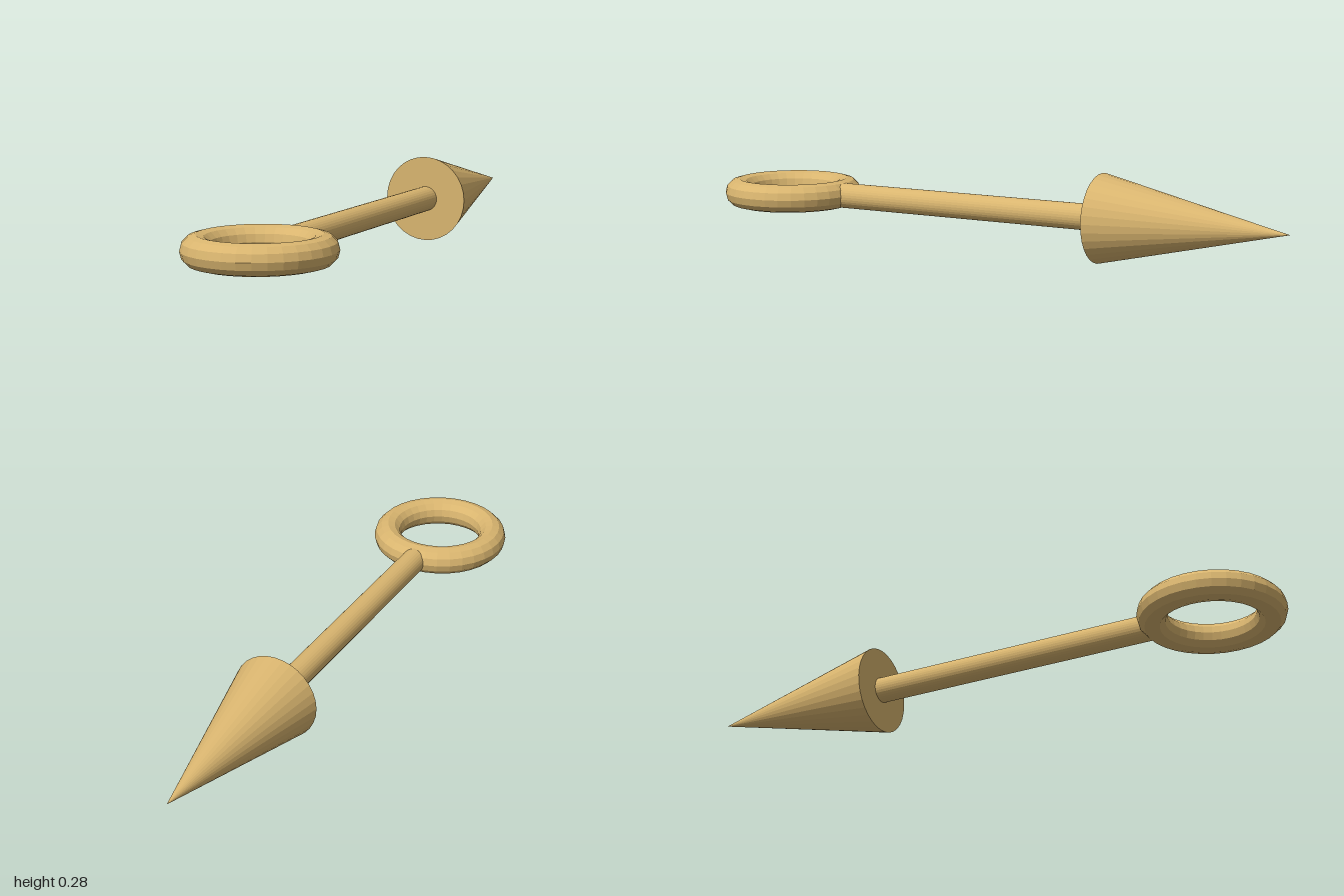
import * as THREE from 'three';

export function createModel() {
  const group = new THREE.Group();
  const material = new THREE.MeshStandardMaterial({ color: 0xd9b56f, flatShading: true });
  const axisY = 0.141;

  const add = (name, geometry, z) => {
    const mesh = new THREE.Mesh(geometry, material);
    mesh.name = name;
    mesh.rotation.x = -Math.PI / 2; // local y points to the back
    mesh.position.set(0, axisY, z);
    group.add(mesh);
  };

  // Pointed head with a flat base
  const headBase = -0.385, tip = -1;
  add('head', new THREE.ConeGeometry(0.14, headBase - tip, 32), (headBase + tip) / 2);

  // Round shaft, running into the ring's wall
  const shaftEnd = 0.59;
  add('shaft', new THREE.CylinderGeometry(0.041, 0.041, shaftEnd - headBase, 32), (shaftEnd + headBase) / 2);

  // Ring lying flat at the front end
  add('ring', new THREE.TorusGeometry(0.18, 0.046, 12, 32), 0.774);

  return group;
}
